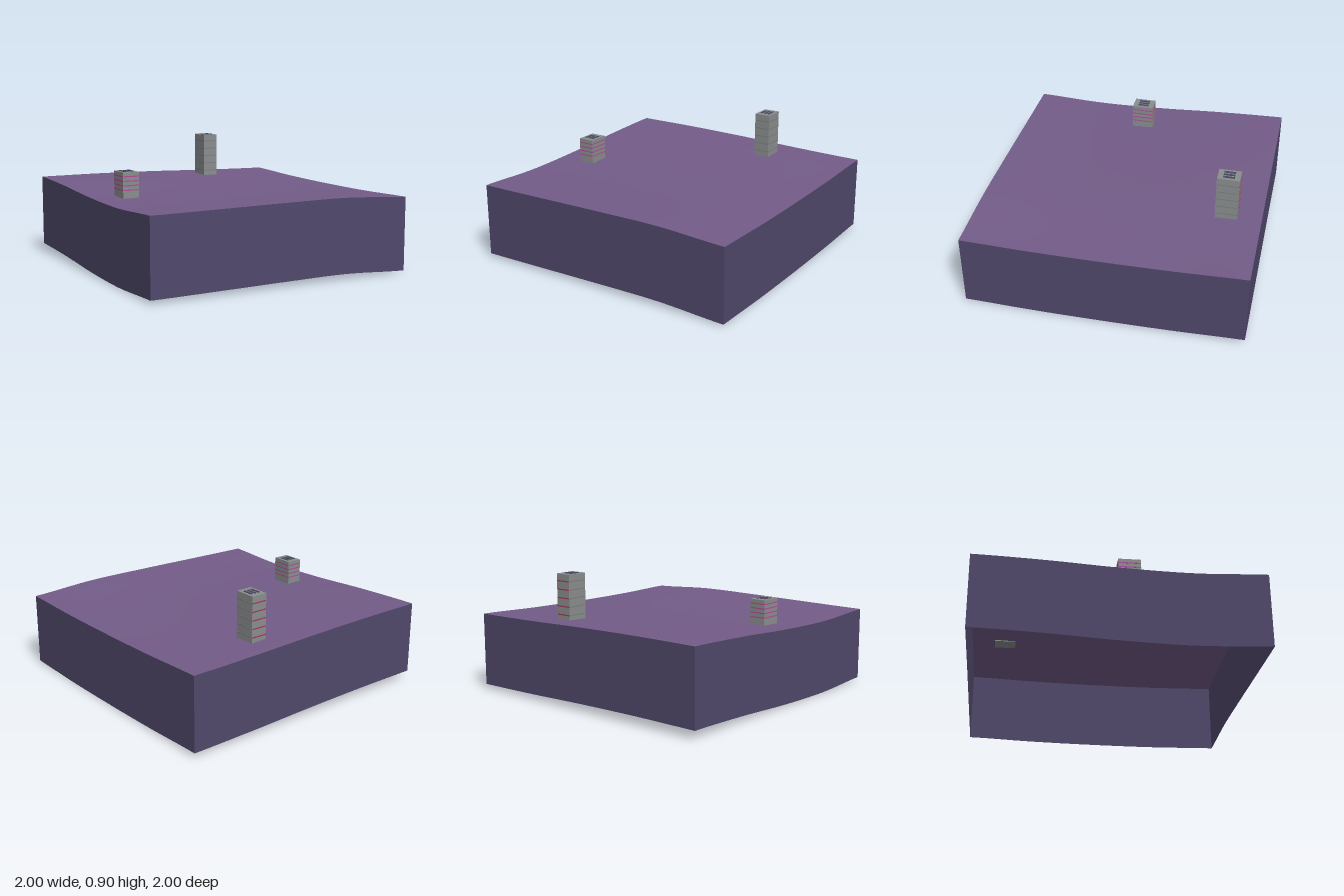
import * as THREE from 'three';

const material = (name, color, side = THREE.FrontSide) => {
  const m = new THREE.MeshStandardMaterial({ color, side });
  m.name = name;
  return m;
};

const DEPTH = 0.533; // height of the side walls
const SEG = 40;

// Height profile along one edge, from five evenly spaced heights
const edge = (...heights) => {
  const curve = new THREE.SplineCurve(heights.map((h, i) => new THREE.Vector2(i / 4, h)));
  return (t) => curve.getPoint(t).y;
};
const back = edge(0.595, 0.595, 0.587, 0.573, 0.565);
const front = edge(0.557, 0.562, 0.568, 0.569, 0.543);
const right = edge(0.595, 0.578, 0.55, 0.538, 0.557); // x = -1, back to front
const left = edge(0.565, 0.546, 0.536, 0.534, 0.543); // x = +1, back to front

// Ground height blended from the four edges
function groundHeight(x, z) {
  const u = (x + 1) / 2, v = (z + 1) / 2, mix = THREE.MathUtils.lerp;
  return mix(back(u), front(u), v) + mix(right(v), left(v), u)
    - mix(mix(back(0), back(1), u), mix(front(0), front(1), u), v);
}

// Rolling top surface
function ground(mat) {
  const geo = new THREE.PlaneGeometry(2, 2, SEG, SEG).rotateX(-Math.PI / 2);
  const p = geo.attributes.position;
  for (let i = 0; i < p.count; i++) p.setY(i, groundHeight(p.getX(i), p.getZ(i)));
  geo.computeVertexNormals();
  const mesh = new THREE.Mesh(geo, mat);
  mesh.name = 'ground';
  return mesh;
}

// One wall whose top and bottom both follow the ground
function wall(name, angle, mat) {
  const geo = new THREE.PlaneGeometry(2, DEPTH, SEG, 1).translate(0, 0, 1).rotateY(angle);
  const p = geo.attributes.position;
  for (let i = 0; i < p.count; i++) {
    const h = groundHeight(p.getX(i), p.getZ(i));
    p.setY(i, p.getY(i) > 0 ? h : h - DEPTH);
  }
  geo.computeVertexNormals();
  const mesh = new THREE.Mesh(geo, mat);
  mesh.name = name;
  return mesh;
}

function box(parent, name, mat, size, pos) {
  const mesh = new THREE.Mesh(new THREE.BoxGeometry(...size), mat);
  mesh.name = name;
  mesh.position.set(...pos);
  parent.add(mesh);
}

// Tower block with floor bands and three roof vents
function tower(name, x, z, top, bands, mats) {
  const g = new THREE.Group();
  g.name = name;
  g.position.set(x, 0, z);
  const W = 0.12, D = 0.158, base = groundHeight(x, z) - 0.005;
  box(g, 'block', mats.concrete, [W, top - base, D], [0, (top + base) / 2, 0]);
  for (const y of bands) {
    for (const s of [-1, 1]) {
      const mat = s < 0 ? mats.backBand : mats.band;
      box(g, 'floorBand', mat, [W - 0.004, 0.008, 0.003], [0, y, s * D / 2]);
      box(g, 'floorBand', mats.band, [0.003, 0.008, D - 0.004], [s * W / 2, y, 0]);
    }
  }
  for (const i of [-1, 0, 1]) {
    box(g, 'roofVent', mats.vent, [0.016, 0.006, 0.08], [i * 0.03, top + 0.001, 0]);
  }
  return g;
}

export function createModel() {
  const group = new THREE.Group();
  const turf = material('purple ground', 0x735c88, THREE.DoubleSide);
  const side = material('dark violet wall', 0x50486b, THREE.DoubleSide);
  const concrete = material('concrete grey', 0x8a8e8d);
  const vent = material('dark vent', 0x4a4866);
  const magenta = material('magenta band', 0xb04a9c);
  const grey = material('slate band', 0x7a8086);
  const red = material('crimson band', 0xa8325e);

  group.add(ground(turf));
  ['frontWall', 'leftWall', 'backWall', 'rightWall'].forEach((name, i) => {
    group.add(wall(name, i * Math.PI / 2, side));
  });

  group.add(tower('shortTower', -0.75, 0.08, 0.73, [0.7, 0.668, 0.636, 0.604],
    { concrete, vent, band: magenta, backBand: magenta }));
  group.add(tower('tallTower', 0.33, -0.75, 0.9, [0.85, 0.79, 0.73, 0.67, 0.61],
    { concrete, vent, band: grey, backBand: red }));

  // Small footing just below the ground
  box(group, 'buriedFooting', concrete, [0.08, 0.006, 0.11], [0.1, groundHeight(0.1, 0.79) - 0.006, 0.79]);
  return group;
}
